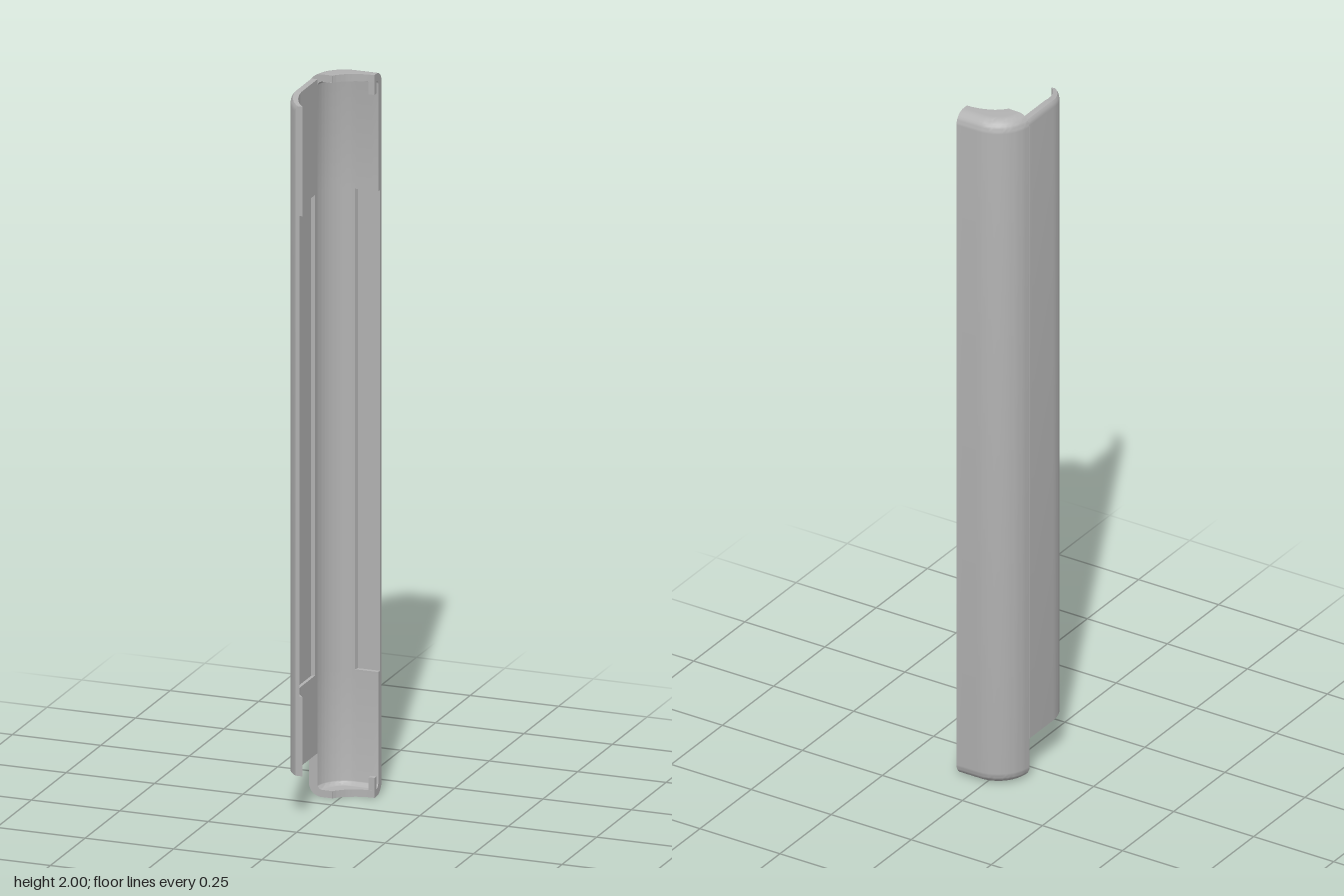
import * as THREE from 'three';
import { toCreasedNormals } from 'three/addons/utils/BufferGeometryUtils.js';

// Sweep a closed (depth, y) section along a plan path.
// Stations hold an outer point (x, z) and an inward direction (nx, nz).
function sweep(stations, sectionAt) {
  const secs = stations.map(sectionAt);
  const pos = [];
  const at = (i, j) => {
    const s = stations[i], q = secs[i][j % secs[i].length];
    return new THREE.Vector3(s.x + s.nx * q[0], q[1], s.z + s.nz * q[0]);
  };
  const e1 = new THREE.Vector3(), e2 = new THREE.Vector3();
  const tri = (a, b, c) => {
    if (e1.subVectors(b, a).cross(e2.subVectors(c, a)).length() < 1e-9) return;
    for (const v of [a, b, c]) pos.push(v.x, v.y, v.z);
  };
  const n = secs[0].length, last = stations.length - 1;
  for (let i = 0; i < last; i++) {
    for (let j = 0; j < n; j++) {
      const a = at(i, j), b = at(i + 1, j), c = at(i + 1, j + 1), d = at(i, j + 1);
      tri(a, b, c);
      tri(a, c, d);
    }
  }
  // end faces
  const faces = (i) => THREE.ShapeUtils.triangulateShape(secs[i].map((p) => new THREE.Vector2(p[0], p[1])), []);
  for (const [a, b, c] of faces(0)) tri(at(0, a), at(0, b), at(0, c));
  for (const [a, b, c] of faces(last)) tri(at(last, a), at(last, c), at(last, b));
  const g = new THREE.BufferGeometry();
  g.setAttribute('position', new THREE.Float32BufferAttribute(pos, 3));
  return toCreasedNormals(g, 0.6);
}

// Quarter arc of section points
function arc(cx, cy, r, from, to, steps = 8) {
  return Array.from({ length: steps + 1 }, (_, i) => {
    const a = THREE.MathUtils.degToRad(from + (to - from) * i / steps);
    return [cx + r * Math.cos(a), cy + r * Math.sin(a)];
  });
}

const WALL = 0.024, LOW = 0.34, HIGH = 1.67; // wall depth, limits of the inner recess

// Rounded back channel: corner arc then straight run, with hooked ends
function backGeometry() {
  const R = 0.102, cx = 0.018, cz = -0.046, st = [];
  st.push({ x: -0.084, z: -0.053, nx: 1, nz: 0, D: 0.065, thin: WALL });
  for (let i = 1; i <= 20; i++) {
    const t = i / 20, a = 0.07 + t * (Math.PI / 2 - 0.07);
    st.push({
      x: cx - R * Math.cos(a), z: cz - R * Math.sin(a), nx: Math.cos(a), nz: Math.sin(a),
      D: 0.065 + 0.002 * t + 0.006 * Math.sin(Math.PI * t), thin: WALL,
    });
  }
  for (const [x, D, thin] of [[0.022, 0.065, 0.012], [0.036, 0.059, 0.012], [0.05, 0.055, 0.012], [0.066, 0.052, 0.012], [0.084, 0.051, 0.012]]) {
    st.push({ x, z: -0.148, nx: 0, nz: 1, D, thin });
  }
  const r = 0.035, ri = 0.014, cap = 0.02;
  return sweep(st, ({ D, thin }) => [
    ...arc(r, 2 - r, r, 90, 180),
    ...arc(r, r, r, 180, 270),
    [D, 0], [D, cap],
    ...arc(WALL + ri, cap + ri, ri, 270, 180),
    [WALL, LOW], [thin, LOW], [thin, HIGH], [WALL, HIGH],
    ...arc(WALL + ri, 2 - cap - ri, ri, 180, 90),
    [D, 2 - cap], [D, 2],
  ]);
}

// Side flap, curling inward toward its front edge
function flapGeometry() {
  const R = 0.1125, st = [];
  for (let i = 0; i <= 14; i++) {
    const a = 0.87 * (1 - i / 14);
    st.push({ x: -0.084 + R * (1 - Math.cos(a)), z: 0.06 + R * Math.sin(a), th: WALL - 0.004 * (1 - i / 14) });
  }
  st.push({ x: -0.084, z: -0.03, th: WALL }, { x: -0.084, z: -0.036, th: WALL, full: true }, { x: -0.084, z: -0.055, th: WALL, full: true });
  for (const s of st) Object.assign(s, { nx: 1, nz: 0 });
  return sweep(st, ({ z, th, full }) => {
    const top = 1.985 - 0.012 * Math.max(0, (z - 0.06) / 0.086);
    const thin = full ? th : th - 0.009;
    return [
      [0.007, top], [0.002, top - 0.006], [0, top - 0.016],
      [0, 0.12], [th, 0.12], [th, LOW], [thin, LOW], [thin, HIGH], [th, HIGH], [th, top],
    ];
  });
}

export function createModel() {
  const model = new THREE.Group();
  model.name = 'channelCover';
  const grey = new THREE.MeshStandardMaterial({ color: 0xb2b2b2 });
  grey.name = 'grey';
  const add = (name, geometry) => {
    const m = new THREE.Mesh(geometry, grey);
    m.name = name;
    model.add(m);
    return m;
  };
  add('backChannel', backGeometry());
  add('sideFlap', flapGeometry());
  // small retaining lips at both ends
  for (const [name, y] of [['topLip', 1.9675], ['bottomLip', 0.0325]]) {
    add(name, new THREE.BoxGeometry(0.017, 0.045, 0.014)).position.set(0.0755, y, -0.1045);
  }
  return model;
}
